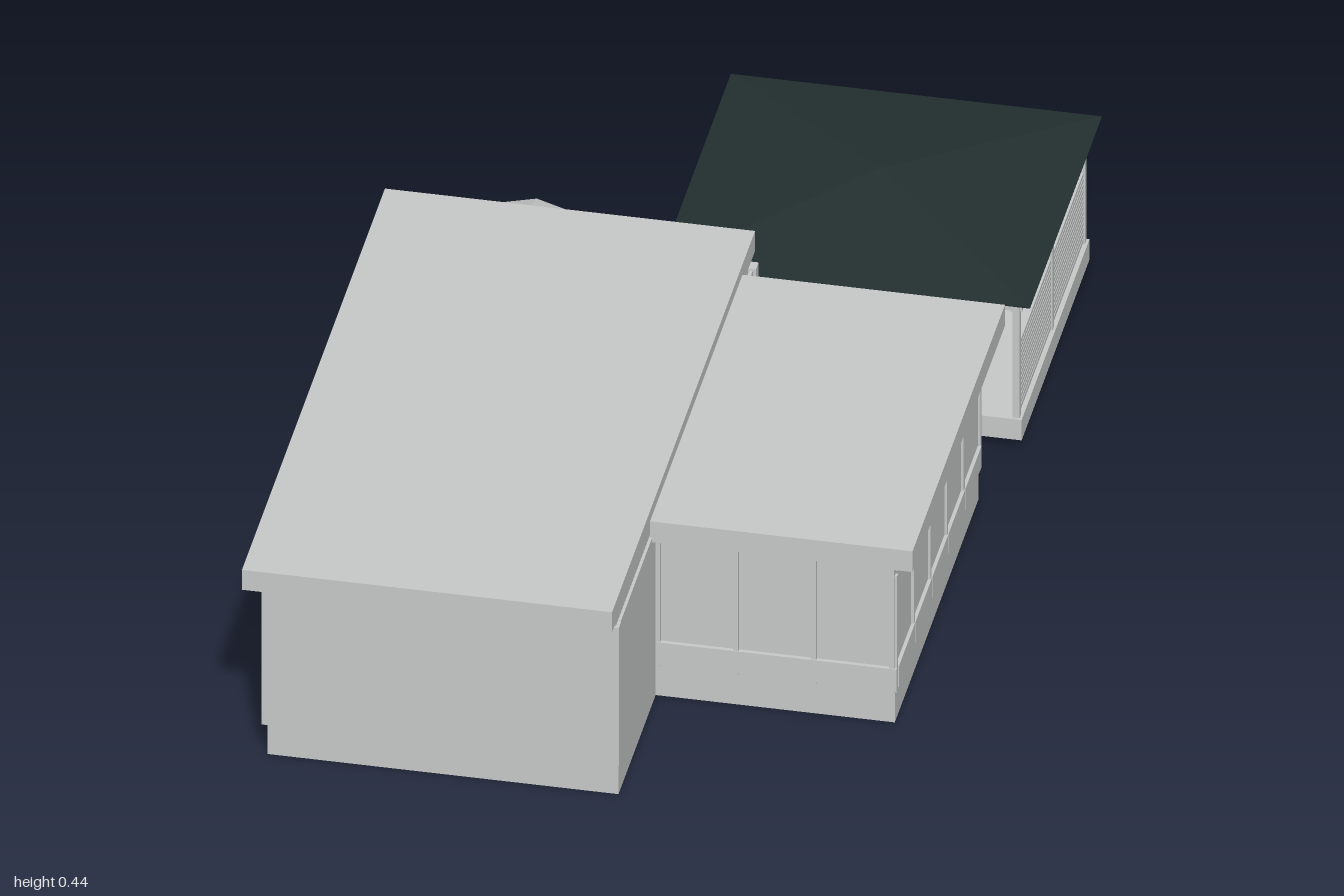
import * as THREE from 'three';

export function createModel() {
  const root = new THREE.Group();
  root.name = 'cafeBuilding';
  const mat = (name, color, extra = {}) => Object.assign(new THREE.MeshStandardMaterial({ color, ...extra }), { name });
  const grey = mat('plainGrey', 0xc8cac9);
  const shade = mat('shadowGrey', 0xa2a4a3);
  const dark = mat('darkRoof', 0x22302f, { side: THREE.DoubleSide, flatShading: true });
  const black = mat('darkFurniture', 0x2a2c2c);
  const cloth = mat('parasolCloth', 0xcccecd, { side: THREE.DoubleSide, flatShading: true });

  const group = (name) => {
    const g = new THREE.Group();
    g.name = name;
    root.add(g);
    return g;
  };
  // box from its limits
  const box = (parent, name, m, x0, x1, y0, y1, z0, z1) => {
    const mesh = new THREE.Mesh(new THREE.BoxGeometry(x1 - x0, y1 - y0, z1 - z0), m);
    mesh.position.set((x0 + x1) / 2, (y0 + y1) / 2, (z0 + z1) / 2);
    mesh.name = name;
    parent.add(mesh);
    return mesh;
  };
  const cylinder = (parent, name, m, r0, r1, y0, y1, x, z, n = 8) => {
    const mesh = new THREE.Mesh(new THREE.CylinderGeometry(r1, r0, y1 - y0, n), m);
    mesh.position.set(x, (y0 + y1) / 2, z);
    mesh.name = name;
    parent.add(mesh);
  };

  // main hall: hollow, open at the back
  const hall = group('mainHall');
  box(hall, 'foundation', grey, -0.58, 0.095, 0, 0.07, -0.28, 0.955);
  box(hall, 'frontWall', grey, -0.59, 0.097, 0.07, 0.38, 0.94, 0.962);
  box(hall, 'wallHead', grey, -0.585, 0.09, 0.38, 0.396, -0.275, 0.957);
  box(hall, 'rightWall', grey, 0.075, 0.096, 0.07, 0.38, 0.6, 0.94);
  box(hall, 'partyWall', grey, 0.075, 0.095, 0.07, 0.38, -0.29, 0.6);
  box(hall, 'leftWall', grey, -0.59, -0.57, 0.07, 0.38, -0.29, 0.94);
  box(hall, 'backWallLeft', grey, -0.59, -0.41, 0.07, 0.38, -0.29, -0.272);
  box(hall, 'backWallRight', grey, 0, 0.097, 0.07, 0.38, -0.29, -0.272);
  box(hall, 'backLintel', grey, -0.41, 0, 0.345, 0.38, -0.29, -0.272);
  box(hall, 'roomPartition', grey, -0.57, 0.075, 0.07, 0.38, 0.25, 0.265);
  box(hall, 'cornerPier', grey, 0.09, 0.105, 0.075, 0.39, -0.297, -0.272);
  box(hall, 'sidePanel', grey, 0.094, 0.1, 0.16, 0.39, -0.268, -0.172);
  box(hall, 'roof', grey, -0.62, 0.092, 0.395, 0.44, -0.327, 1);
  // back opening frame
  for (const x of [-0.41, -0.275, -0.012]) box(hall, 'openingPost', grey, x, x + 0.012, 0.07, 0.345, -0.29, -0.275);
  box(hall, 'doorTrim', grey, -0.5, -0.495, 0.07, 0.38, -0.294, -0.29);

  // framed windows along the left side
  for (let i = 0; i <= 5; i++) {
    const z = -0.13 + i * 0.134;
    box(hall, 'windowPost', grey, -0.597, -0.59, 0.07, 0.38, z - 0.006, z + 0.006);
    if (i < 5) {
      box(hall, 'lowerPanel', grey, -0.595, -0.59, 0.075, 0.125, z + 0.008, z + 0.126);
      box(hall, 'windowPane', grey, -0.593, -0.59, 0.14, 0.37, z + 0.012, z + 0.122);
    }
  }

  // side wing
  const wing = group('sideWing');
  box(wing, 'foundation', grey, 0.095, 0.555, 0, 0.07, -0.168, 0.61);
  box(wing, 'frontWall', grey, 0.095, 0.555, 0.07, 0.372, 0.595, 0.61);
  box(wing, 'sideWall', grey, 0.54, 0.555, 0.07, 0.33, -0.168, 0.6);
  box(wing, 'clerestory', shade, 0.535, 0.545, 0.33, 0.372, -0.16, 0.6);
  box(wing, 'backWall', grey, 0.36, 0.555, 0.07, 0.372, -0.168, -0.153);
  box(wing, 'backLintel', grey, 0.095, 0.36, 0.335, 0.372, -0.168, -0.153);
  box(wing, 'roof', grey, 0.092, 0.597, 0.37, 0.417, -0.21, 0.648);
  box(wing, 'frontSill', grey, 0.097, 0.56, 0.075, 0.125, 0.61, 0.618);
  for (const x of [0.1, 0.25, 0.4, 0.55]) box(wing, 'frontPost', grey, x - 0.005, x + 0.005, 0.07, 0.37, 0.608, 0.616);
  for (const x of [0.13, 0.24, 0.352]) box(wing, 'backPost', grey, x - 0.006, x + 0.006, 0.07, 0.335, -0.17, -0.153);
  for (let i = 0; i <= 5; i++) {
    const z = -0.165 + i * 0.1545;
    box(wing, 'sidePost', grey, 0.55, 0.56, 0.07, 0.332, z - 0.005, z + 0.005);
    if (i < 5) box(wing, 'lowerPanel', grey, 0.553, 0.562, 0.078, 0.125, z + 0.002, z + 0.152);
  }

  // furniture
  const chair = (parent, m, x, y, z, turn) => {
    const g = new THREE.Group();
    g.name = 'chair';
    g.position.set(x, y, z);
    g.rotation.y = turn;
    box(g, 'seat', m, -0.02, 0.02, 0.036, 0.042, -0.02, 0.02);
    box(g, 'backrest', m, -0.02, 0.02, 0.052, 0.078, -0.02, -0.016);
    for (const sx of [-0.018, 0.018]) {
      box(g, 'frontLeg', m, sx - 0.002, sx + 0.002, 0, 0.036, 0.015, 0.019);
      box(g, 'backLeg', m, sx - 0.002, sx + 0.002, 0, 0.075, -0.02, -0.016);
    }
    parent.add(g);
  };
  const table = (parent, x, y, z, w, d) => {
    box(parent, 'tableTop', grey, x - w, x + w, y + 0.06, y + 0.066, z - d, z + d);
    for (const sx of [-1, 1]) for (const sz of [-1, 1]) {
      const lx = x + sx * (w - 0.005), lz = z + sz * (d - 0.005);
      box(parent, 'tableLeg', grey, lx - 0.002, lx + 0.002, y, y + 0.06, lz - 0.002, lz + 0.002);
    }
  };
  const inside = group('interior');
  box(inside, 'counter', grey, -0.45, -0.1, 0.07, 0.15, 0.1, 0.15);
  box(inside, 'shelf', grey, -0.5, 0, 0.25, 0.26, 0.2, 0.25);
  for (const x of [-0.32, -0.1]) {
    table(inside, x, 0.07, -0.12, 0.045, 0.035);
    chair(inside, black, x - 0.07, 0.07, -0.12, Math.PI / 2);
    chair(inside, black, x + 0.07, 0.07, -0.12, -Math.PI / 2);
  }
  table(inside, 0.24, 0.07, -0.02, 0.045, 0.035);
  chair(inside, black, 0.17, 0.07, -0.02, Math.PI / 2);
  chair(inside, black, 0.31, 0.07, -0.02, -Math.PI / 2);

  // garden pavilion
  const pav = group('pavilion');
  const px0 = -0.07, px1 = 0.6, pz0 = -0.98, pz1 = -0.35, cx = 0.263, cz = -0.667;
  box(pav, 'deck', grey, px0, px1, 0.02, 0.066, pz0, pz1);
  const post = (x, z) => box(pav, 'post', grey, x - 0.007, x + 0.007, 0.066, 0.325, z - 0.007, z + 0.007);
  for (const x of [px0 + 0.012, px1 - 0.012]) for (const z of [pz0 + 0.012, pz1 - 0.012]) post(x, z);
  post(cx, pz0 + 0.012);
  post(px1 - 0.012, cz);
  for (const z of [pz0 + 0.012, pz1 - 0.012]) box(pav, 'eaveBeam', grey, px0, px1, 0.308, 0.33, z - 0.008, z + 0.008);
  for (const x of [px0 + 0.012, px1 - 0.012]) box(pav, 'sideBeam', grey, x - 0.008, x + 0.008, 0.308, 0.33, pz0, pz1);
  for (let i = 1; i < 6; i++) {
    const x = px0 + i * (px1 - px0) / 6;
    box(pav, 'ceilingJoist', grey, x - 0.008, x + 0.008, 0.318, 0.33, pz0 + 0.02, pz1 - 0.02);
  }
  // slatted screens on two sides
  for (let i = 0; i < 13; i++) {
    const y = 0.07 + i * 0.0123;
    box(pav, 'backSlat', grey, px0 + 0.01, px1 - 0.01, y, y + 0.0085, pz0 + 0.008, pz0 + 0.014);
    box(pav, 'sideSlat', grey, px1 - 0.014, px1 - 0.008, y, y + 0.0085, pz0 + 0.01, pz1 - 0.01);
  }
  // hipped roof
  const hip = new THREE.ConeGeometry(Math.SQRT1_2, 0.052, 4, 1, true).rotateY(Math.PI / 4);
  const hipRoof = new THREE.Mesh(hip, dark);
  hipRoof.name = 'hippedRoof';
  hipRoof.scale.set(0.714, 1, 0.666);
  hipRoof.position.set(cx, 0.359, cz);
  pav.add(hipRoof);
  box(pav, 'roofEdge', dark, cx - 0.356, cx + 0.356, 0.33, 0.333, cz - 0.332, cz + 0.332);
  for (const x of [0.09, 0.4]) for (const z of [-0.53, -0.82]) {
    table(pav, x, 0.066, z, 0.05, 0.04);
    chair(pav, grey, x - 0.08, 0.066, z, Math.PI / 2);
    chair(pav, grey, x + 0.08, 0.066, z, -Math.PI / 2);
  }

  // parasol with its small table
  const parasol = group('parasol');
  const ux = -0.387, uz = -0.478;
  cylinder(parasol, 'pole', grey, 0.004, 0.004, 0.062, 0.312, ux, uz);
  box(parasol, 'parasolTable', grey, ux - 0.035, ux + 0.035, 0.128, 0.134, uz - 0.035, uz + 0.035);
  const canopy = new THREE.Mesh(new THREE.ConeGeometry(0.135, 0.047, 8, 1, true), cloth);
  canopy.name = 'canopy';
  canopy.position.set(ux, 0.2865, uz);
  parasol.add(canopy);

  return root;
}
